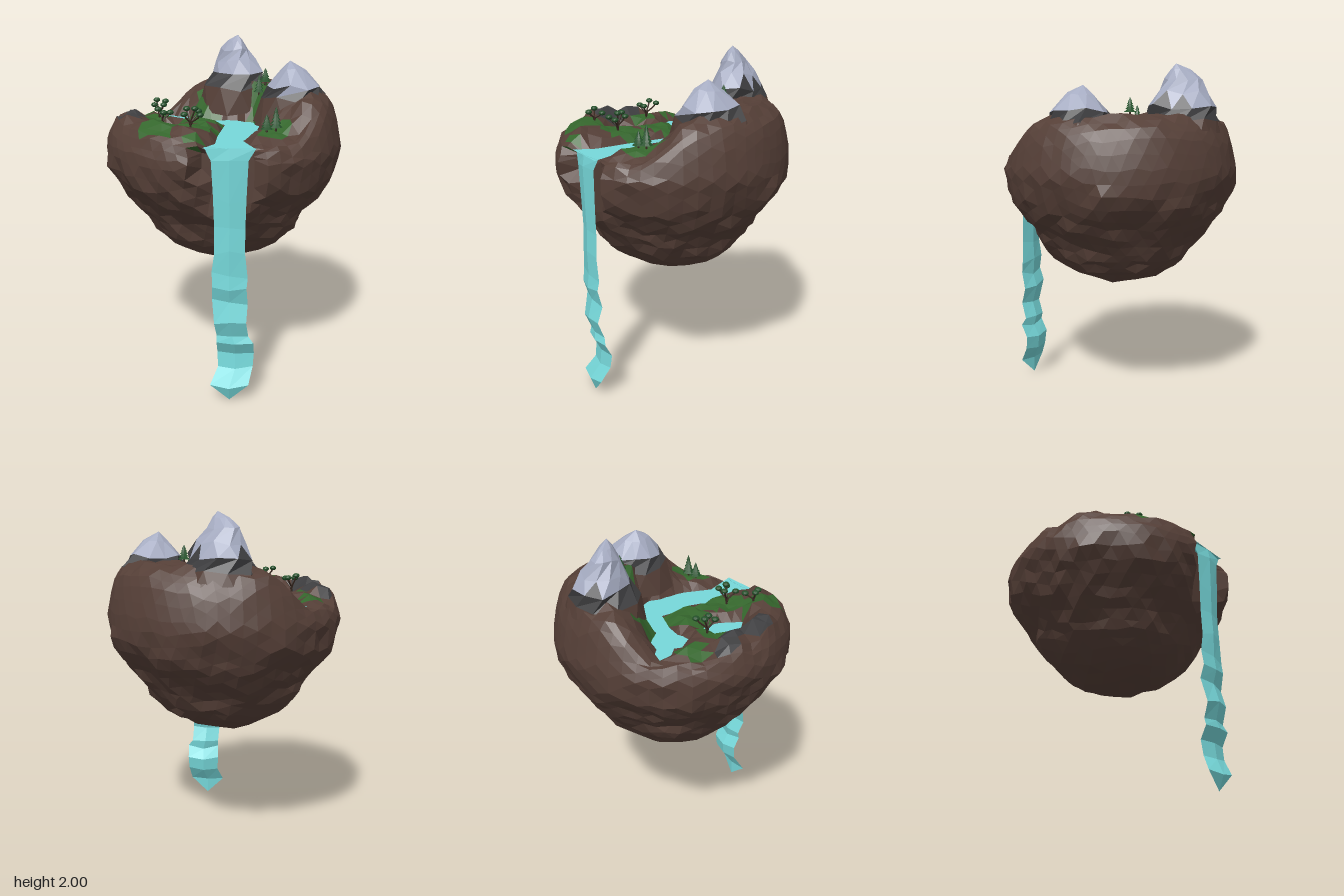
import * as THREE from 'three';
import { mergeGeometries } from 'three/addons/utils/BufferGeometryUtils.js';

const COLORS = { rock: 0x553f37, crag: 0x3f3f41, snow: 0xa6acc2, grass: 0x35672d, water: 0x76d8da, leaf: 0x24502a, bark: 0x3a2a22 };
const { smoothstep: ss, lerp } = THREE.MathUtils;
const WATER_Y = 1.48;

// Outlines as [x, z]
const river = [[-0.04, -0.6], [0, -0.53], [0, -0.48], [0.05, -0.4], [0.04, -0.28], [0.1, -0.2], [0.2, -0.16], [0.21, -0.06],
  [0.25, -0.02], [0.19, 0.07], [0.18, 0.14], [0.05, 0.25], [0, 0.31], [-0.18, 0.4], [-0.27, 0.62], [-0.47, 0.42],
  [-0.35, 0.37], [-0.2, 0.2], [0, 0], [0.05, -0.05], [-0.02, -0.2], [-0.08, -0.28], [-0.15, -0.31], [-0.13, -0.43], [-0.09, -0.45], [-0.09, -0.53]];
const pond = [[-0.42, -0.18], [-0.28, -0.25], [-0.2, -0.18], [-0.28, -0.09], [-0.42, -0.05]];

// Ground patches as ellipses [x, z, rx, rz]
const grassPatches = [[-0.28, 0.1, 0.13, 0.12], [-0.1, -0.1, 0.13, 0.13], [-0.57, 0.13, 0.09, 0.12], [-0.45, 0.06, 0.08, 0.07],
  [-0.04, 0.5, 0.12, 0.08], [0.28, 0.01, 0.05, 0.1], [0.11, -0.33, 0.06, 0.1], [-0.2, -0.52, 0.08, 0.07], [-0.26, -0.32, 0.08, 0.07], [-0.5, 0.36, 0.05, 0.04]];
const cragPatches = [[-0.38, -0.43, 0.07, 0.13], [-0.5, -0.22, 0.1, 0.1]];
const inside = (list, x, z) => list.some(([cx, cz, rx, rz]) => ((x - cx) / rx) ** 2 + ((z - cz) / rz) ** 2 < 1);

// Repeatable noise in -1..1 from a position
function noise(x, y, z, k) {
  const s = Math.sin(Math.round(x * 500) * 12.99 + Math.round(y * 500) * 78.23 + Math.round(z * 500) * 37.72 + k * 9.17) * 43758.55;
  return 2 * (s - Math.floor(s)) - 1;
}

// Signed distance to the water's edge (negative in water) and the nearest bank point
function shore(x, z) {
  let best = { d: Infinity }, wet = false;
  for (const poly of [river, pond]) poly.forEach(([ax, az], i) => {
    const [bx, bz] = poly[(i + 1) % poly.length];
    const ex = bx - ax, ez = bz - az;
    const t = THREE.MathUtils.clamp(((x - ax) * ex + (z - az) * ez) / (ex * ex + ez * ez), 0, 1);
    const px = ax + ex * t, pz = az + ez * t, d = Math.hypot(x - px, z - pz);
    if (d < best.d) best = { d, px, pz };
    if ((az > z) !== (bz > z) && x < ax + ex * (z - az) / ez) wet = !wet;
  });
  if (wet) best.d *= -1;
  return best;
}

// Height of the ground: low plain to the west, steep bank and high ridge to the east
function ground(x, z) {
  const { d } = shore(x, z);
  if (d <= 0) return WATER_Y - 0.008 - Math.min(0.05, -d);
  const base = 1.525 + 0.19 * ss(x, -0.03, 0.26) + 0.055 * ss(-x, 0.3, 0.55) - 0.05 * ss(Math.hypot(x, z), 0.53, 0.63)
    + (inside(cragPatches, x, z) ? 0.04 : 0);
  return Math.min(base, WATER_Y - 0.005 + d * (1.3 + 2 * ss(x, 0, 0.25)));
}

function mesh(name, geometry, color, side = THREE.FrontSide) {
  const m = new THREE.Mesh(geometry, new THREE.MeshStandardMaterial({ color, flatShading: true, side }));
  m.name = name;
  return m;
}

// Sorts triangles by kind and makes one mesh for each kind
function addByKind(group, prefix, triangles, kindOf) {
  const sets = {};
  for (const tri of triangles) {
    const c = new THREE.Vector3().add(tri[0]).add(tri[1]).add(tri[2]).divideScalar(3);
    (sets[kindOf(c)] ??= []).push(...tri);
  }
  for (const [kind, pts] of Object.entries(sets)) {
    const g = new THREE.BufferGeometry().setFromPoints(pts);
    g.computeVertexNormals();
    group.add(mesh(prefix + kind[0].toUpperCase() + kind.slice(1), g, COLORS[kind]));
  }
}

// Triangles between successive closed rings, listed from bottom to top
function loft(rings) {
  const out = [];
  for (let j = 0; j + 1 < rings.length; j++) rings[j].forEach((a, i) => {
    const n = (i + 1) % rings[j].length, b = rings[j][n], c = rings[j + 1][i], d = rings[j + 1][n];
    if (!a.equals(b)) out.push([a, c, b]);
    if (!c.equals(d)) out.push([b, c, d]);
  });
  return out;
}

// Island body: a sphere remapped to a rugged top and a tapering underside
function addIsland(group) {
  const RIM = 1.2;
  const profile = [[0.62, 1.54], [0.67, 1.49], [0.703, 1.39], [0.675, 1.24], [0.6, 1.12], [0.51, 1.01], [0.45, 0.905], [0.36, 0.81], [0.2, 0.725], [0, 0.68]];
  const p = new THREE.IcosahedronGeometry(1, 9).attributes.position;
  const remap = (i) => {
    const v = new THREE.Vector3().fromBufferAttribute(p, i);
    const n = [0, 1, 2].map((k) => noise(v.x, v.y, v.z, k));
    const t = Math.acos(THREE.MathUtils.clamp(v.y, -1, 1)), a = Math.atan2(v.z, v.x);
    let r, x, z, y;
    if (t < RIM) {
      r = 0.62 * t / RIM;
      x = r * Math.cos(a) + n[0] * 0.012;
      z = r * Math.sin(a) + n[1] * 0.012;
      const s = shore(x, z);
      if (Math.abs(s.d) < 0.026) { x = s.px; z = s.pz; y = WATER_Y - 0.004; }
      else y = ground(x, z) + (s.d > 0.05 ? n[2] * 0.012 : 0);
    } else {
      const f = (t - RIM) / (Math.PI - RIM) * (profile.length - 1), k = Math.min(Math.floor(f), profile.length - 2);
      const wave = 0.02 * Math.sin(a * 6 + t * 5) * Math.sin(t * 7 - a * 2) * Math.sin(t);
      r = lerp(profile[k][0], profile[k + 1][0], f - k) + (f > 2.5 ? n[0] * 0.014 + wave : 0);
      x = r * Math.cos(a);
      z = r * Math.sin(a);
      const lift = ground(0.6 * Math.cos(a), 0.6 * Math.sin(a)) - 1.54;
      y = lerp(profile[k][1], profile[k + 1][1], f - k) + lift * Math.max(0, 1 - f / 2) + n[1] * 0.013;
    }
    // Flat cliff behind the waterfall
    const over = (z - x) * Math.SQRT1_2 - 0.58;
    if (over > 0 && Math.abs((x + z) * Math.SQRT1_2 - 0.106) < 0.16) { x += over * Math.SQRT1_2; z -= over * Math.SQRT1_2; }
    return new THREE.Vector3(x, y, z);
  };
  const tris = [];
  for (let i = 0; i < p.count; i += 3) tris.push([remap(i), remap(i + 1), remap(i + 2)]);
  addByKind(group, 'island', tris, (c) => {
    if (c.y < 1.475 || Math.hypot(c.x, c.z) > 0.64) return 'rock';
    if (inside(grassPatches, c.x, c.z)) return 'grass';
    return inside(cragPatches, c.x, c.z) ? 'crag' : 'rock';
  });
}

// Snow-capped peak with a brown foot, from rings [y, cx, cz, rx, rz]
function addMountain(group, name, rows, snowLine) {
  const rings = rows.map(([y, cx, cz, rx, rz], j) => Array.from({ length: 10 }, (_, i) => {
    const a = (i + (j % 2) / 2) / 10 * Math.PI * 2, k = 1 + 0.08 * noise(i, j, cx, 1);
    const dy = Math.min(0.02, rx * 0.15) * noise(i, j, cz, 2);
    return new THREE.Vector3(cx + rx * k * Math.cos(a), y + dy, cz + rz * k * Math.sin(a));
  }));
  addByKind(group, name, loft(rings), (c) => {
    const y = c.y + 0.025 * noise(c.x, c.y, c.z, 3);
    return y > snowLine ? 'snow' : y > 1.67 ? 'crag' : 'rock';
  });
}

// Falling water: thin sections [y, half width, sideways shift, outward shift]
function addWaterfall(group) {
  const rows = [[0, 0, 0, -0.02], [0.1, 0.11, 0, -0.005], [0.19, 0.1, 0.03, -0.06], [0.27, 0.105, 0.03, -0.07], [0.34, 0.105, 0.03, -0.03],
    [0.41, 0.09, 0.015, -0.04], [0.48, 0.09, 0.005, -0.005], [0.6, 0.1, 0, -0.035], [0.68, 0.095, 0, -0.01], [0.77, 0.1, 0, -0.02],
    [0.9, 0.085, 0, -0.015], [1.05, 0.085, 0, -0.02], [1.2, 0.09, 0, -0.015], [1.4, 0.1, 0, -0.01], [1.482, 0.14, 0, -0.02]];
  const rings = rows.map(([y, w, s, o], j) => [[w, 0], [0, 0.018], [-w, 0], [0, -0.018]].map(([l, f], i) => {
    const lat = l + s, out = (w ? f : 0) + o;
    return new THREE.Vector3(-0.37 + (lat - out) * Math.SQRT1_2, y + (j && j < 14 ? 0.02 * noise(i, j, 1, 4) : 0), 0.52 + (lat + out) * Math.SQRT1_2);
  }));
  addByKind(group, 'waterfall', loft(rings), () => 'water');
}

function flatWater(name, outline) {
  const shape = new THREE.Shape(outline.map(([x, z]) => new THREE.Vector2(x, -z)));
  return mesh(name, new THREE.ShapeGeometry(shape).rotateX(-Math.PI / 2).translate(0, WATER_Y, 0), COLORS.water, THREE.DoubleSide);
}

// Conifer: stacked cones on a thin trunk
function pine(x, z, h) {
  const tree = new THREE.Group(), tiers = [];
  tree.name = 'pineTree';
  for (let i = 0; i < 5; i++) tiers.push(new THREE.ConeGeometry(0.036 * (1 - i * 0.17), h * 0.24, 8).translate(0, h * (0.3 + i * 0.145), 0));
  tree.add(mesh('pineNeedles', mergeGeometries(tiers), COLORS.leaf));
  tree.add(mesh('pineTrunk', new THREE.CylinderGeometry(0.005, 0.007, h * 0.5, 5).translate(0, h * 0.2, 0), COLORS.bark));
  tree.position.set(x, ground(x, z), z);
  return tree;
}

// Spreading tree: a bent branch to each leaf clump [dx, dy, dz]
function broadleaf(x, z, clumps) {
  const tree = new THREE.Group(), wood = [], leaves = [];
  tree.name = 'spreadingTree';
  for (const [dx, dy, dz] of clumps) {
    const path = new THREE.CatmullRomCurve3([[0, -0.01, 0], [dx * 0.15, dy * 0.4, dz * 0.15], [dx * 0.7, dy * 0.7, dz * 0.7], [dx, dy, dz]].map((q) => new THREE.Vector3(...q)));
    wood.push(new THREE.TubeGeometry(path, 5, 0.005, 5));
    leaves.push(new THREE.IcosahedronGeometry(0.021, 1).scale(1, 0.7, 1).translate(dx, dy, dz));
  }
  tree.add(mesh('branches', mergeGeometries(wood), COLORS.bark), mesh('leafClumps', mergeGeometries(leaves), COLORS.leaf));
  tree.position.set(x, ground(x, z), z);
  return tree;
}

export function createModel() {
  const model = new THREE.Group();
  model.name = 'floatingIsland';
  addIsland(model);
  addMountain(model, 'tallPeak', [[1.52, 0.33, -0.28, 0.25, 0.25], [1.68, 0.33, -0.28, 0.2, 0.22], [1.76, 0.335, -0.285, 0.155, 0.19],
    [1.84, 0.325, -0.295, 0.115, 0.15], [1.91, 0.315, -0.295, 0.075, 0.115], [1.965, 0.31, -0.28, 0.035, 0.06], [2, 0.31, -0.25, 0, 0]], 1.77);
  addMountain(model, 'smallPeak', [[1.52, 0.31, 0.29, 0.25, 0.23], [1.67, 0.3, 0.29, 0.2, 0.2], [1.74, 0.29, 0.3, 0.15, 0.165],
    [1.83, 0.28, 0.3, 0.075, 0.08], [1.88, 0.27, 0.28, 0, 0]], 1.73);
  model.add(flatWater('river', river), flatWater('pond', pond));
  addWaterfall(model);
  [[0.3, -0.025, 0.13], [0.31, 0.02, 0.1], [-0.02, 0.49, 0.14], [-0.07, 0.47, 0.1]].forEach((q) => model.add(pine(...q)));
  model.add(
    broadleaf(-0.47, 0.05, [[-0.01, 0.07, -0.03], [0.05, 0.05, 0], [-0.02, 0.06, 0.04]]),
    broadleaf(-0.31, 0.09, [[0.01, 0.1, -0.05], [-0.05, 0.08, 0.01], [0.05, 0.09, 0.01], [0.01, 0.08, 0.08], [0.01, 0.11, 0.03]]),
    broadleaf(-0.25, -0.32, [[0.01, 0.1, -0.04], [0.06, 0.09, -0.02], [-0.04, 0.08, 0.01], [0, 0.08, 0.05]]));
  return model;
}
